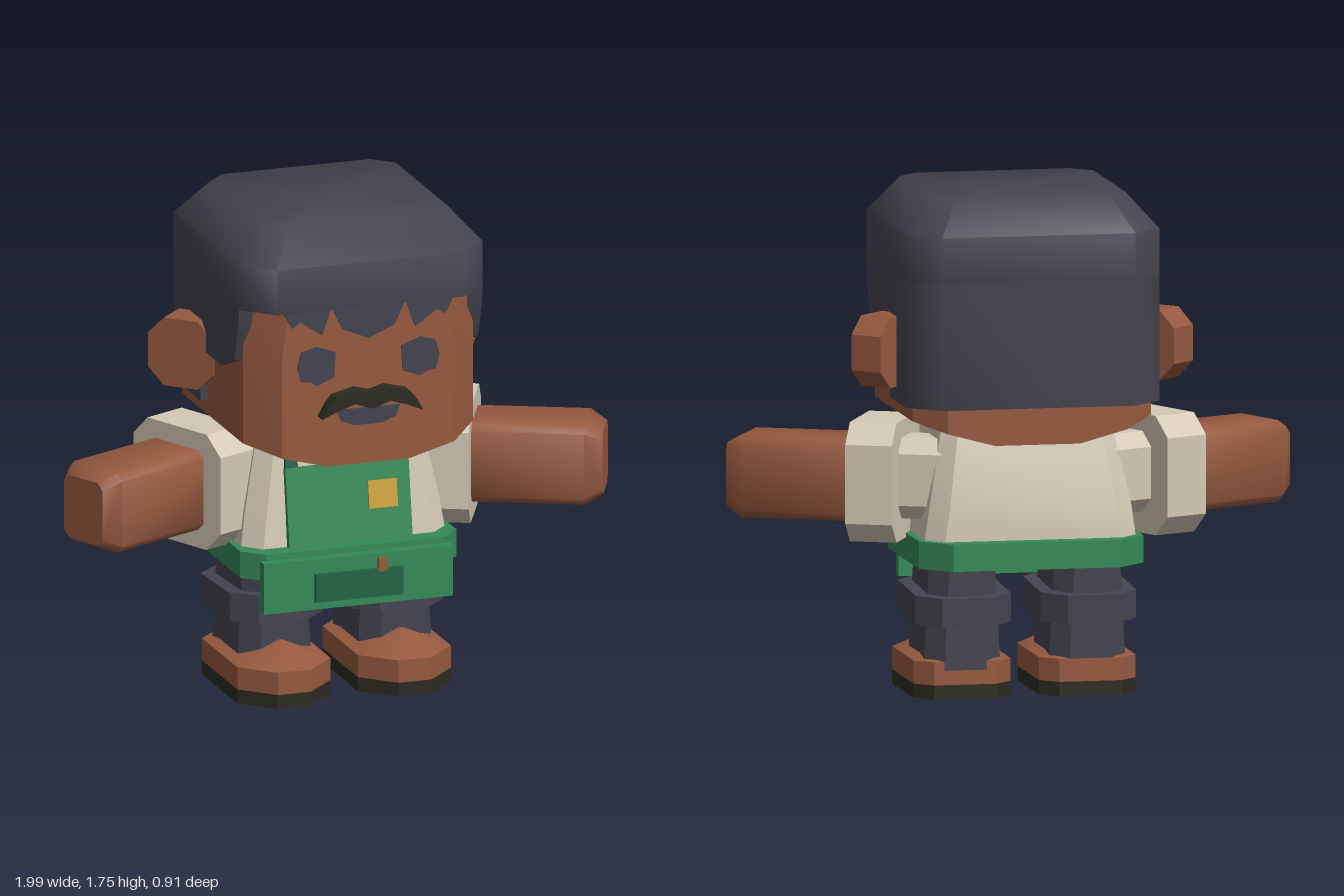
import * as THREE from 'three';
import { toCreasedNormals } from 'three/addons/utils/BufferGeometryUtils.js';

const mat = (name, color) => new THREE.MeshStandardMaterial({ name, color });

// Closed solid through rings of [x, y, z] points, always facing outward
function loft(rings, crease = 0.5) {
  const tris = [];
  const n = rings[0].length;
  const centre = r => [0, 1, 2].map(k => r.reduce((a, p) => a + p[k], 0) / r.length);
  const first = rings[0], last = rings[rings.length - 1];
  const c0 = centre(first), c1 = centre(last);
  for (let j = 0; j < n; j++) {
    const k = (j + 1) % n;
    for (let i = 0; i < rings.length - 1; i++) {
      const a = rings[i], b = rings[i + 1];
      tris.push([a[j], a[k], b[k]], [a[j], b[k], b[j]]);
    }
    tris.push([c0, first[k], first[j]], [c1, last[j], last[k]]);
  }
  let volume = 0;
  const v = tris.map(t => t.map(p => new THREE.Vector3(...p)));
  for (const [a, b, c] of v) volume += a.dot(b.clone().cross(c));
  const pts = v.flatMap(([a, b, c]) => (volume < 0 ? [a, c, b] : [a, b, c]));
  return toCreasedNormals(new THREE.BufferGeometry().setFromPoints(pts), crease);
}

// Rectangle with cut corners: c at the low side of the second axis, d at the high side
const cutRect = (a0, a1, b0, b1, c, d = c) => [
  [a0 + c, b0], [a1 - c, b0], [a1, b0 + c], [a1, b1 - d],
  [a1 - d, b1], [a0 + d, b1], [a0, b1 - d], [a0, b0 + c]];
const flatRing = (y, ...r) => cutRect(...r).map(([x, z]) => [x, y, z]);
const sideRing = (x, ...r) => cutRect(...r).map(([y, z]) => [x, y, z]);

// Flat outline pushed forward
function plate(points, z, depth) {
  const shape = new THREE.Shape(points.map(p => new THREE.Vector2(...p)));
  return new THREE.ExtrudeGeometry(shape, { depth, bevelEnabled: false }).translate(0, 0, z);
}
const mirrored = half => [...half, ...half.slice().reverse().filter(p => p[0] !== 0).map(([x, y]) => [-x, y])];

export function createModel() {
  const skin = mat('brown', 0x96593f);
  const dark = mat('charcoal', 0x44444f);
  const cream = mat('cream', 0xd3c9b5);
  const green = mat('green', 0x358a58);
  const deepGreen = mat('deep green', 0x226444);
  const black = mat('near black', 0x2c2b21);
  const gold = mat('gold', 0xcca238);

  const model = new THREE.Group();
  model.name = 'apronFigure';
  const add = (name, geometry, material, parent = model) => {
    const mesh = new THREE.Mesh(geometry, material);
    mesh.name = name;
    parent.add(mesh);
    return mesh;
  };
  const box = (name, x0, x1, y0, y1, z0, z1, material, parent) => add(name,
    new THREE.BoxGeometry(x1 - x0, y1 - y0, z1 - z0)
      .translate((x0 + x1) / 2, (y0 + y1) / 2, (z0 + z1) / 2), material, parent);

  // Head with a jaw that rises toward the cheeks
  const headRing = (z, w, jaw, top = w) => [
    [-top, 1.6, z], [-w, 1.3, z], [-w, jaw, z], [-0.15, 0.9, z],
    [0.15, 0.9, z], [w, jaw, z], [w, 1.3, z], [top, 1.6, z]];
  add('head', loft([headRing(-0.43, 0.315, 0.945), headRing(-0.33, 0.42, 0.98),
    headRing(0.3, 0.42, 0.98), headRing(0.405, 0.315, 0.945, 0.27)], 0.6), skin);

  // Hair: cap, back and side panels, fringe
  add('hairCap', loft([
    flatRing(1.47, -0.445, 0.445, -0.455, 0.43, 0.105),
    flatRing(1.63, -0.445, 0.445, -0.455, 0.43, 0.105),
    flatRing(1.75, -0.34, 0.34, -0.345, 0.33, 0.07)], 1), dark);
  add('hairBack', loft([
    flatRing(1.03, -0.445, 0.445, -0.455, -0.07, 0.105, 0),
    flatRing(1.47, -0.445, 0.445, -0.455, -0.07, 0.105, 0)], 1), dark);
  const sideburn = [[-0.07, 1.47], [-0.07, 1.22], [0.14, 1.22], [0.28, 1.275], [0.32, 1.4], [0.33, 1.47]];
  for (const s of [-1, 1]) {
    add('hairSide', loft([0.39, 0.445].map(x => sideburn.map(([z, y]) => [s * x, y, z]))), dark);
  }
  add('fringe', plate(mirrored([[0.315, 1.5], [0.31, 1.47], [0.28, 1.41], [0.25, 1.43], [0.17, 1.375],
    [0.135, 1.475], [0.095, 1.39], [0, 1.35]]), 0.39, 0.022), dark);

  // Face
  const eye = [[0.12, 1.31], [0.19, 1.335], [0.245, 1.32], [0.26, 1.265],
    [0.245, 1.215], [0.21, 1.21], [0.19, 1.195], [0.125, 1.22]];
  add('leftEye', plate(eye, 0.402, 0.008), dark);
  add('rightEye', plate(eye.map(([x, y]) => [-x, y]), 0.402, 0.008), dark);
  add('mouth', plate(mirrored([[0.115, 1.1], [0.1, 1.06], [0.05, 1.04]]), 0.402, 0.008), dark);
  add('moustache', plate(mirrored([[0, 1.165], [0.055, 1.18], [0.135, 1.16], [0.16, 1.13],
    [0.185, 1.085], [0.125, 1.11], [0.065, 1.13], [0, 1.107]]), 0.4, 0.055), black);

  // Ears, swept back
  for (const s of [-1, 1]) {
    const ear = add(s > 0 ? 'leftEar' : 'rightEar',
      plate(cutRect(-0.125, 0.125, -0.122, 0.122, 0.06), -0.06, 0.12), skin);
    ear.position.set(s * 0.47, 1.203, -0.125);
    ear.rotation.y = s * Math.PI / 4;
  }

  // Shirt
  add('shirt', loft([
    flatRing(0.5, -0.38, 0.38, -0.365, 0.21, 0.06),
    flatRing(0.67, -0.355, 0.355, -0.365, 0.19, 0.06),
    flatRing(0.94, -0.3, 0.3, -0.29, 0.148, 0.05)], 0.4), cream);

  // Apron bib with its straps, badge and the open collar, leaning with the chest
  const bib = new THREE.Group();
  bib.name = 'bib';
  bib.position.set(0, 0.55, 0.2);
  bib.rotation.x = -0.157;
  model.add(bib);
  box('bibPanel', -0.225, 0.225, 0, 0.285, -0.02, 0.03, green, bib);
  box('badge', 0.07, 0.175, 0.118, 0.215, 0.03, 0.039, gold, bib);
  for (const s of [-1, 1]) {
    const x = s * 0.2;
    box('strap', x - 0.022, x + 0.022, 0.25, 0.39, -0.02, 0.027, deepGreen, bib);
  }
  add('collarOpening', plate([[-0.08, 0.28], [0.08, 0.28], [0.17, 0.375], [-0.17, 0.375]], 0, 0.009), skin, bib);

  // Waistband and hanging pocket
  add('waistband', loft([0.465, 0.56].map(y =>
    flatRing(y, -0.395, 0.395, -0.425, 0.27, 0.1, 0.07))), green);
  box('apronFlap', -0.345, 0.345, 0.357, 0.538, 0.265, 0.305, green);
  box('pocket', -0.16, 0.16, 0.385, 0.485, 0.305, 0.318, deepGreen);
  box('pencil', 0.07, 0.1, 0.475, 0.523, 0.303, 0.32, skin);

  for (const s of [-1, 1]) {
    const side = s > 0 ? 'left' : 'right';

    // Arm and sleeve, reaching out and slightly forward
    const arm = new THREE.Group();
    arm.name = side + 'Arm';
    arm.rotation.y = -s * 25 * Math.PI / 180;
    model.add(arm);
    add('forearm', loft([
      sideRing(s * 0.4, 0.61, 0.895, -0.39, -0.13, 0.025),
      sideRing(s * 0.87, 0.61, 0.895, -0.39, -0.13, 0.025),
      sideRing(s * 0.93, 0.64, 0.865, -0.355, -0.165, 0.025)], 0.9), skin, arm);
    add('sleeve', loft([0.314, 0.479].map(x =>
      sideRing(s * x, 0.545, 0.96, -0.475, -0.045, 0.07))), cream, arm);
    add('shoulder', loft([0.15, 0.32].map(x =>
      sideRing(s * x, 0.62, 0.9, -0.38, -0.14, 0.05))), cream, arm);

    // Leg, rolled cuff and shoe
    const leg = new THREE.Group();
    leg.name = side + 'Leg';
    leg.position.x = s * 0.22;
    model.add(leg);
    add('trouser', loft([
      flatRing(0.1, -0.135, 0.135, -0.27, 0.115, 0.06),
      flatRing(0.48, -0.115, 0.115, -0.27, 0.115, 0.06)]), dark, leg);
    const cuff = add('cuff', loft([-0.05, 0.05].map(y =>
      flatRing(y, -0.168, 0.168, -0.23, 0.23, 0.08))), dark, leg);
    cuff.position.set(0, 0.316, -0.078);
    cuff.rotation.x = -0.05;
    const shoeRing = y => flatRing(y, -0.17, 0.17, -0.27, 0.265, 0.06, 0.11);
    add('sole', loft([shoeRing(0), shoeRing(0.05)]), black, leg);
    const instep = shoeRing(0).map(() => [0, 0.205, 0.13]);
    add('shoe', loft([shoeRing(0.05), shoeRing(0.13), instep]), skin, leg);
  }
  return model;
}
